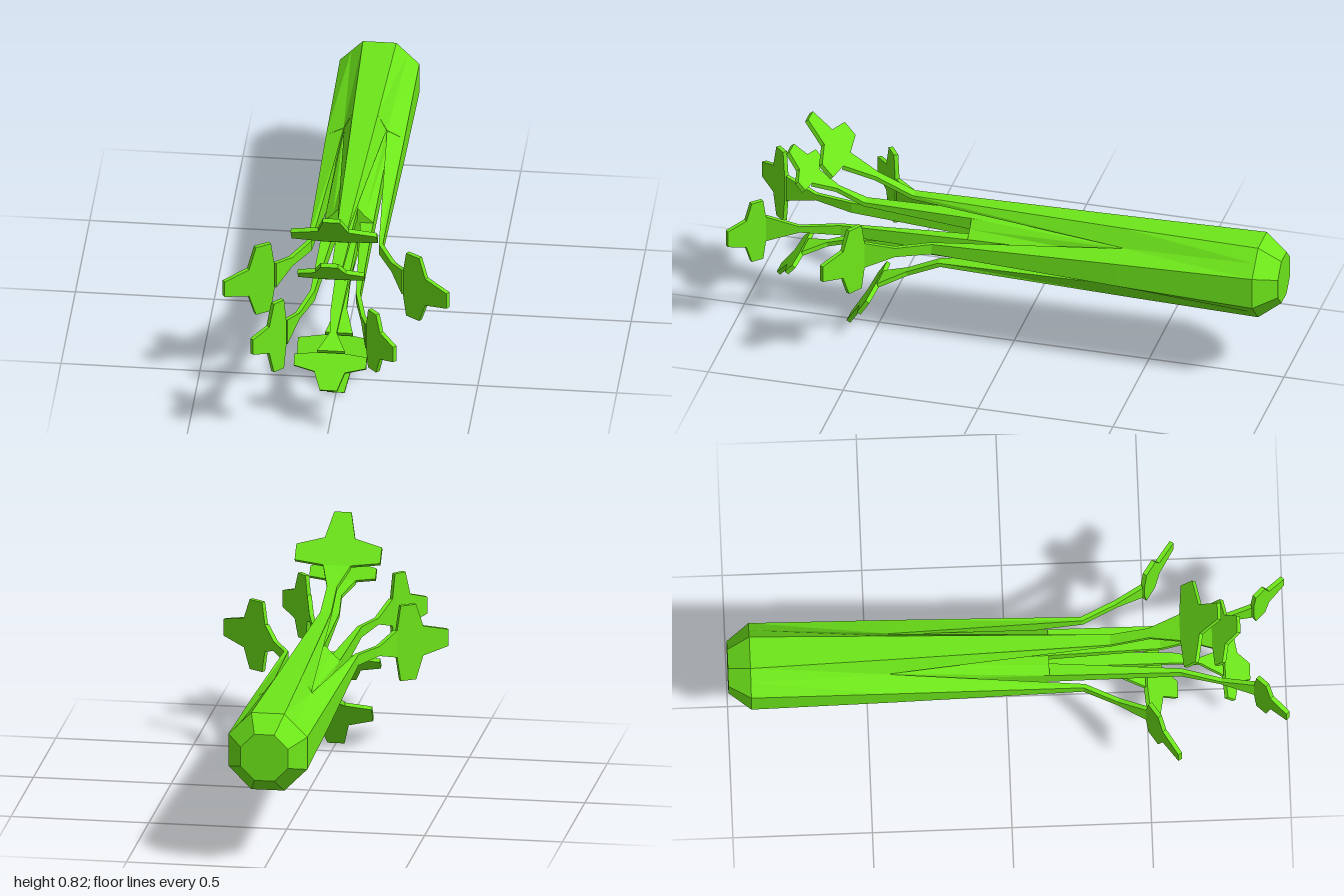
import * as THREE from 'three';

const green = new THREE.MeshStandardMaterial({ color: 0x6ee81a, flatShading: true });
const CENTRE_Y = 0.413;
const THICK = 0.016;

// Closed solid through rings of points (counter-clockwise seen from +z, z rising)
function loft(rings) {
  const pos = [];
  const tri = (a, b, c) => pos.push(...a, ...b, ...c);
  const n = rings[0].length;
  const middle = ring => [0, 1, 2].map(k => ring.reduce((s, p) => s + p[k], 0) / n);
  for (let r = 0; r < rings.length - 1; r++) {
    const a = rings[r], b = rings[r + 1];
    for (let i = 0; i < n; i++) {
      const j = (i + 1) % n;
      tri(a[i], a[j], b[j]);
      tri(a[i], b[j], b[i]);
    }
  }
  const first = rings[0], last = rings[rings.length - 1];
  const m0 = middle(first), m1 = middle(last);
  for (let i = 0; i < n; i++) {
    const j = (i + 1) % n;
    tri(m0, first[j], first[i]);
    tri(m1, last[i], last[j]);
  }
  const g = new THREE.BufferGeometry();
  g.setAttribute('position', new THREE.Float32BufferAttribute(pos, 3));
  g.computeVertexNormals();
  return g;
}

// Four-armed section: arm radius R, arm half-width w, valley at (v, v)
function crossRing(z, R, w, v) {
  const ring = [];
  for (let k = 0; k < 4; k++) {
    const c = Math.round(Math.cos(k * Math.PI / 2)), s = Math.round(Math.sin(k * Math.PI / 2));
    for (const [x, y] of [[R, -w], [R, w], [v, v]]) ring.push([x * c - y * s, x * s + y * c, z]);
  }
  return ring;
}

function addMesh(parent, name, geometry) {
  const mesh = new THREE.Mesh(geometry, green);
  mesh.name = name;
  parent.add(mesh);
  return mesh;
}

// Stalk with a leaf, built along +y; bend, kink and tip are [radius, z]
function makeStalk(name, start, neck, { angle, bend, kink, tip, half }) {
  const g = new THREE.Group();
  g.name = name;
  const ring = (ro, zo, wo, ri, zi, wi) =>
    [[wo, ro, zo], [-wo, ro, zo], [-wi, ri, zi], [wi, ri, zi]];
  const dr = kink[0] - bend[0], dz = kink[1] - bend[1], len = Math.hypot(dr, dz);
  const nr = -dz / len * THICK, nz = dr / len * THICK;
  const along = (t, w) => {
    const r = bend[0] + dr * t, z = bend[1] + dz * t;
    return ring(r, z, w, r + nr, z + nz, w);
  };
  addMesh(g, 'stem', loft([
    ring(start.ro, start.z, start.wo, start.ri, start.z, start.wi),
    along(0, 0.02), along(0.55, neck), along(1, 0.05),
  ]));

  // Cross-shaped leaf blade
  const dir = new THREE.Vector3(0, tip[0] - kink[0], tip[1] - kink[1]);
  const L = dir.length();
  dir.normalize();
  const side = [[0.05, 0], [half, 0.07 * L], [half, 0.37 * L], [0.055, 0.51 * L], [0.031, L]];
  const outline = [...side, ...side.map(([x, y]) => [-x, y]).reverse()];
  const shape = new THREE.Shape(outline.map(([x, y]) => new THREE.Vector2(x, y)));
  const blade = new THREE.ExtrudeGeometry(shape, { depth: THICK, bevelEnabled: false });
  const right = new THREE.Vector3(1, 0, 0);
  const basis = new THREE.Matrix4().makeBasis(right, dir, right.clone().cross(dir));
  blade.applyMatrix4(basis.setPosition(0, kink[0], kink[1]));
  addMesh(g, 'leaf', blade);

  g.rotation.z = angle;
  return g;
}

export function createModel() {
  const model = new THREE.Group();
  model.name = 'celery';
  const plant = new THREE.Group();
  plant.name = 'bunch';
  plant.position.y = CENTRE_Y;
  model.add(plant);

  // Bunched base and the shorter core inside the outer stalks
  addMesh(plant, 'base', loft([
    crossRing(-1, 0.086, 0.036, 0.061),
    crossRing(-0.92, 0.143, 0.06, 0.1015),
    crossRing(-0.42, 0.141, 0.045, 0.078),
  ]));
  addMesh(plant, 'core', loft([
    crossRing(-0.5, 0.088, 0.04, 0.074),
    crossRing(-0.42, 0.088, 0.04, 0.076),
    crossRing(0.15, 0.088, 0.032, 0.058),
  ]));

  const up = 0, right = Math.PI / 2, down = Math.PI, left = -Math.PI / 2;
  const outerStart = { z: -0.42, ro: 0.141, wo: 0.045, ri: 0.078, wi: 0.076 };
  const innerStart = { z: 0.14, ro: 0.088, wo: 0.032, ri: 0.04, wi: 0.03 };

  const outer = [
    { angle: up, bend: [0.142, 0.37], kink: [0.245, 0.62], tip: [0.405, 0.755], half: 0.155 },
    { angle: down, bend: [0.138, 0.27], kink: [0.24, 0.49], tip: [0.413, 0.6], half: 0.146 },
    { angle: right, bend: [0.135, 0.27], kink: [0.24, 0.49], tip: [0.408, 0.6], half: 0.14 },
    { angle: left, bend: [0.135, 0.27], kink: [0.24, 0.49], tip: [0.408, 0.6], half: 0.13 },
  ];
  const inner = [
    { angle: up, bend: [0.086, 0.55], kink: [0.157, 0.735], tip: [0.26, 0.825], half: 0.12 },
    { angle: down, bend: [0.086, 0.59], kink: [0.15, 0.77], tip: [0.253, 0.86], half: 0.13 },
    { angle: right, bend: [0.09, 0.62], kink: [0.16, 0.88], tip: [0.268, 0.992], half: 0.142 },
    { angle: left, bend: [0.09, 0.62], kink: [0.15, 0.88], tip: [0.258, 0.992], half: 0.12 },
  ];
  outer.forEach(s => plant.add(makeStalk('outerStalk', outerStart, 0.018, s)));
  inner.forEach(s => plant.add(makeStalk('innerStalk', innerStart, 0.012, s)));

  return model;
}
